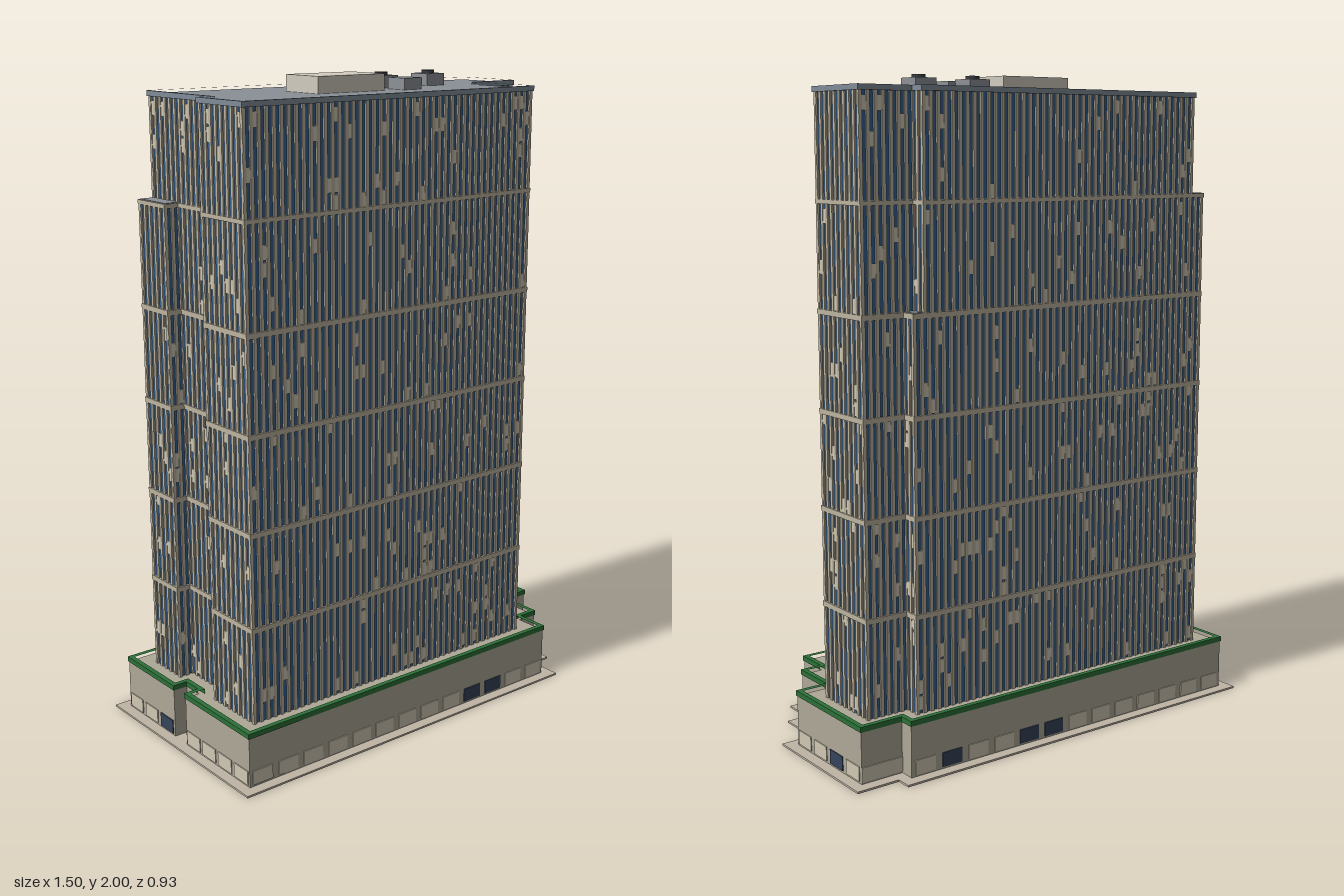
import * as THREE from 'three';
import { mergeGeometries } from 'three/addons/utils/BufferGeometryUtils.js';

const mat = (color) => new THREE.MeshStandardMaterial({ color });
const M = {
  glass: mat(0x35608f), fin: mat(0xbdb4a0), blind: mat(0xd0c8b4), rim: mat(0x7f8c99),
  roof: mat(0x8a9097), wall: mat(0xaea898), slab: mat(0xbfb5a6), hedge: mat(0x2c7038),
  dark: mat(0x35435a), house: mat(0xd2ccc0), unit: mat(0x8d9196), fan: mat(0x3a3d42),
};

// Tower outlines [x, z], clockwise seen from above, one for each setback
const LOW = [[-.61, -.28], [.505, -.28], [.505, -.232], [.643, -.232], [.643, .006], [.54, .006], [.54, .157],
  [.471, .157], [.471, .265], [-.612, .265], [-.612, .054], [-.563, .054], [-.563, -.137], [-.61, -.137]];
const MID = LOW.map(([x, z]) => [x === .505 ? .469 : x, z]);
const TOP = [[-.563, -.28], [.469, -.28], [.469, -.232], [.643, -.232], [.643, .006], [.471, .006],
  [.471, .265], [-.612, .265], [-.612, .054], [-.563, .054]];
const SLAB = [...LOW.slice(0, 9), [-.61, .265]];

// Move every edge of a right-angled outline outward by d
function offset(pts, d) {
  const n = pts.length;
  const normal = (a, b) => [Math.sign(b[1] - a[1]), -Math.sign(b[0] - a[0])].map((v) => v * d);
  return pts.map((p, i) => {
    const m = normal(pts[(i + n - 1) % n], p), k = normal(p, pts[(i + 1) % n]);
    return [p[0] + m[0] + k[0], p[1] + m[1] + k[1]];
  });
}

const toVectors = (pts) => pts.map(([x, z]) => new THREE.Vector2(x, -z));

// Vertical prism from y0 to y1, with an optional hole
function prism(name, pts, y0, y1, material, hole) {
  const shape = new THREE.Shape(toVectors(pts));
  if (hole) shape.holes.push(new THREE.Path(toVectors(hole)));
  const geo = new THREE.ExtrudeGeometry(shape, { depth: y1 - y0, bevelEnabled: false });
  geo.rotateX(-Math.PI / 2).translate(0, y0, 0);
  const mesh = new THREE.Mesh(geo, material);
  mesh.name = name;
  return mesh;
}

// Visit each edge of an outline; put() makes a box lying on that wall
function eachEdge(pts, visit) {
  pts.forEach((a, i) => {
    const b = pts[(i + 1) % pts.length];
    const dx = b[0] - a[0], dz = b[1] - a[1];
    const put = (t, y0, y1, width, depth) => new THREE.BoxGeometry(width, y1 - y0, depth)
      .rotateY(Math.atan2(-dz, dx))
      .translate(a[0] + dx * t, (y0 + y1) / 2, a[1] + dz * t);
    visit(Math.hypot(dx, dz), put, i);
  });
}

function merged(name, geos, material) {
  const mesh = new THREE.Mesh(mergeGeometries(geos), material);
  mesh.name = name;
  return mesh;
}

function seeded(seed) {
  return () => (seed = (seed * 16807) % 2147483647) / 2147483647;
}

const PITCH = .025, FIN = .0115, FLOOR = .0485;

// One stage of the tower: glass core, fins, scattered blinds
function towerStage(name, outline, y0, y1, random) {
  const g = new THREE.Group();
  g.name = name;
  const core = offset(outline, -.006);
  g.add(prism('glassCore', core, y0, y1, M.glass));
  const fins = [], blinds = [];
  eachEdge(core, (len, put) => {
    const n = Math.max(1, Math.round(len / PITCH));
    for (let i = 0; i <= n; i++) fins.push(put(i / n, y0, y1 - .002, FIN, .01));
    for (let i = 0; i < n; i++) {
      for (let y = y0 + .01; y + FLOOR < y1; y += FLOOR) {
        if (random() < .07) blinds.push(put((i + .5) / n, y, y + .042, len / n - FIN + .002, .007));
      }
    }
  });
  g.add(merged('facadeFins', fins, M.fin), merged('windowBlinds', blinds, M.blind));
  return g;
}

export function createModel() {
  const model = new THREE.Group();
  model.name = 'officeTower';
  const site = new THREE.Group();
  site.name = 'building';
  site.rotation.y = THREE.MathUtils.degToRad(8.6);
  model.add(site);

  // Ground slab, podium and hedge
  const base = offset(LOW, .0615);
  site.add(prism('groundSlab', offset(SLAB, .097), 0, .006, M.slab));
  site.add(prism('podium', base, .006, .162, M.wall));
  site.add(prism('hedge', offset(base, .003), .162, .178, M.hedge, offset(base, -.013)));

  // Street-level shop windows; a few are dark entrances
  const darkBays = { 0: [7, 8, 11], 3: [1], 5: [0], 8: [2, 3], 13: [0] };
  const shops = [], entrances = [];
  eachEdge(base, (len, put, e) => {
    const n = Math.round(len / .092);
    if (len < .12) return;
    for (let i = 0; i < n; i++) {
      const list = darkBays[e]?.includes(i) ? entrances : shops;
      list.push(put((i + .5) / n, .012, .056, .07, .006));
    }
  });
  site.add(merged('shopWindows', shops, M.blind), merged('entrances', entrances, M.dark));

  // Tower in three setbacks
  const random = seeded(77);
  site.add(towerStage('lowerTower', LOW, .162, 1.325, random));
  site.add(towerStage('middleTower', MID, 1.325, 1.635, random));
  site.add(towerStage('upperTower', TOP, 1.635, 1.945, random));

  // Horizontal bands and setback roofs
  for (const y of [.455, .745, 1.035, 1.325]) site.add(prism('band', offset(LOW, .001), y - .008, y + .008, M.fin));
  site.add(prism('band', offset(MID, .001), 1.632, 1.645, M.fin));
  site.add(prism('lowSetbackRoof', offset(LOW, -.004), 1.33, 1.335, M.roof));
  site.add(prism('highSetbackRoof', offset(MID, -.004), 1.64, 1.647, M.roof));

  // Main roof with a low parapet
  site.add(prism('mainRoof', offset(TOP, -.004), 1.944, 1.95, M.roof));
  site.add(prism('parapet', offset(TOP, .003), 1.942, 1.958, M.rim, offset(TOP, -.006)));

  // Rooftop plant
  const box = (name, x, z, w, d, top, material) => {
    const mesh = new THREE.Mesh(new THREE.BoxGeometry(w, top - 1.95, d), material);
    mesh.name = name;
    mesh.position.set(x, (top + 1.95) / 2, z);
    site.add(mesh);
  };
  box('penthouse', -.08, -.012, .25, .155, 2, M.house);
  box('ventBox', .142, .047, .07, .075, 1.985, M.unit);
  for (const [x, z] of [[.143, -.066], [.335, -.066]]) {
    box('coolingUnit', x, z, .072, .075, 1.987, M.unit);
    const fan = new THREE.Mesh(new THREE.CylinderGeometry(.02, .02, .012, 20), M.fan);
    fan.name = 'coolingFan';
    fan.position.set(x, 1.991, z);
    site.add(fan);
  }
  return model;
}
